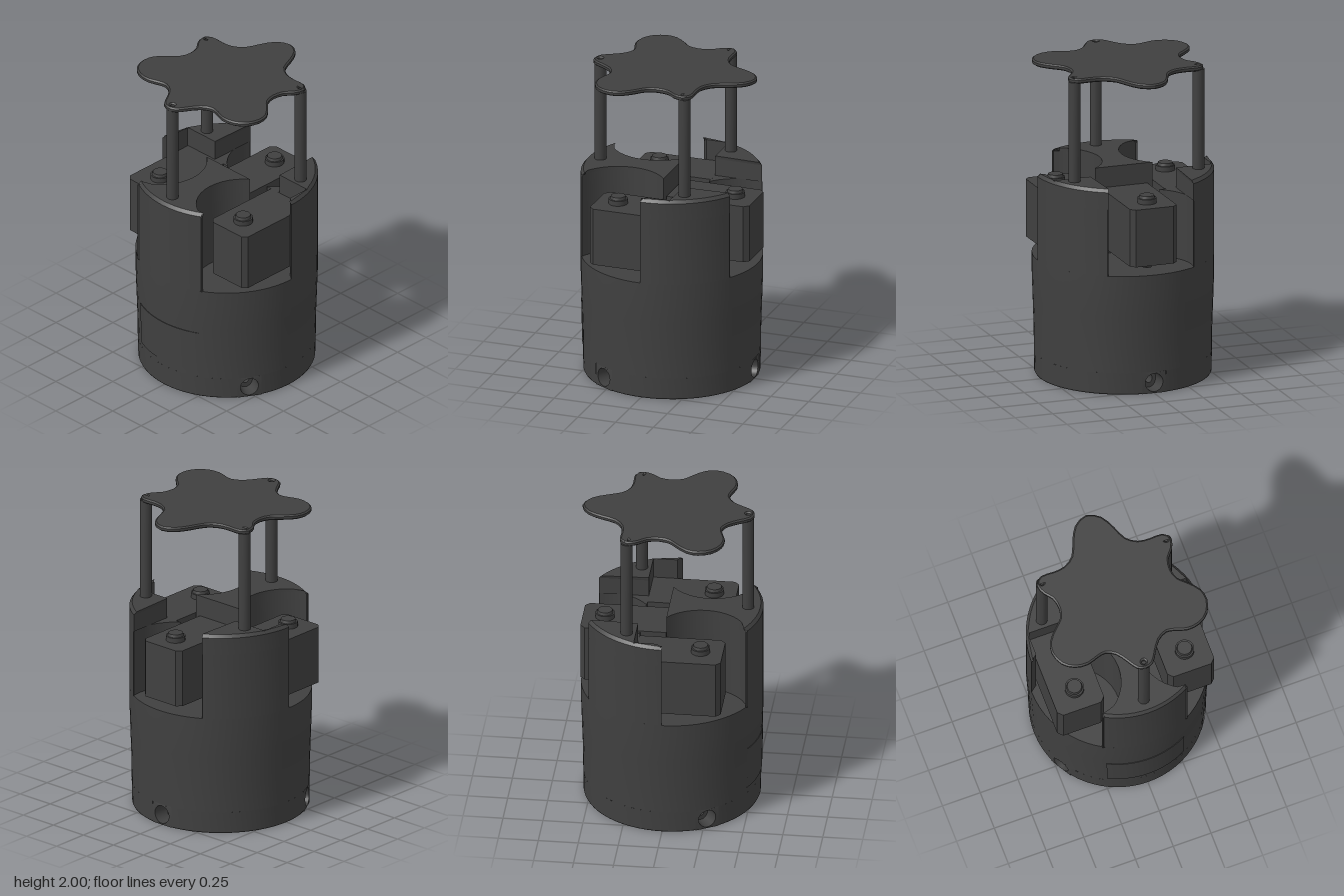
import * as THREE from 'three';
import { toCreasedNormals } from 'three/addons/utils/BufferGeometryUtils.js';

const charcoal = new THREE.MeshStandardMaterial({ color: 0x404040, side: THREE.DoubleSide });
charcoal.name = 'charcoal plastic';

const R = 0.567;        // upper body radius
const POCKET = 0.295;   // clearance radius around each servo shaft
const rad = THREE.MathUtils.degToRad;
const V2 = (x, y) => new THREE.Vector2(x, y);

function part(group, name, geometry) {
  const mesh = new THREE.Mesh(toCreasedNormals(geometry, 0.5), charcoal);
  mesh.name = name;
  group.add(mesh);
  return mesh;
}

// Points on an arc in plan (x, z), angles in degrees
function arc(cx, cz, r, from, to, n = 14) {
  return Array.from({ length: n + 1 }, (_, i) => {
    const a = rad(from + (to - from) * i / n);
    return V2(cx + r * Math.cos(a), cz + r * Math.sin(a));
  });
}

// Upright prism from a plan outline
function prism(outline, y0, y1) {
  const shape = outline instanceof THREE.Shape ? outline : new THREE.Shape(outline);
  return new THREE.ExtrudeGeometry(shape, { depth: y1 - y0, bevelEnabled: false, curveSegments: 20 })
    .rotateX(Math.PI / 2).translate(0, y1, 0);
}

// Thin top layer whose outer rim leans inward
function chamferedCap(outline, y0, y1) {
  const geo = prism(outline, y0, y1), p = geo.attributes.position;
  for (let i = 0; i < p.count; i++) {
    const r = Math.hypot(p.getX(i), p.getZ(i));
    if (p.getY(i) > y1 - 0.001 && r > 0.556) p.setXYZ(i, p.getX(i) * 0.55 / r, y1, p.getZ(i) * 0.55 / r);
  }
  return geo;
}

const cylinder = (r0, r1, y0, y1, x, z, n = 24) =>
  new THREE.CylinderGeometry(r1, r0, y1 - y0, n).translate(x, (y0 + y1) / 2, z);

const lathe = (points, n, start, length) =>
  new THREE.LatheGeometry(points.map(([x, y]) => V2(x, y)), n, start, length);

// Wall block with a round hole, wrapped around the y axis at the given angle
function drilledBlock(angle, halfWidth, rIn, rOut, hole) {
  const w = halfWidth * 0.55;
  const shape = new THREE.Shape([V2(-w, 0), V2(w, 0), V2(w, 0.14), V2(-w, 0.14)]);
  shape.holes.push(new THREE.Path().absarc(0, 0.07, hole, 0, Math.PI * 2, true));
  const geo = new THREE.ExtrudeGeometry(shape, { depth: rOut - rIn, bevelEnabled: false, curveSegments: 16 });
  const p = geo.attributes.position;
  for (let i = 0; i < p.count; i++) {
    const a = angle - p.getX(i) / 0.55, r = rIn + p.getZ(i);
    p.setXYZ(i, r * Math.cos(a), p.getY(i), r * Math.sin(a));
  }
  return geo;
}

function buildBase(root) {
  const base = new THREE.Group();
  base.name = 'base';
  root.add(base);
  part(base, 'lowerBody', lathe(
    [[0, 0.14], [0.553, 0.14], [0.555, 0.3], [0.562, 0.5], [R, 0.65], [R, 0.77], [0, 0.77]], 64));

  // Foot ring: three plain arcs and three blocks with radial screw holes
  const half = 0.14;
  for (let i = 0; i < 3; i++) {
    const hole = rad(120 * i), start = Math.PI / 2 - rad(120 * i) + half, len = Math.PI * 2 / 3 - 2 * half;
    part(base, 'footWall', lathe([[0.545, 0], [0.55, 0.008], [0.553, 0.14]], 20, start, len));
    part(base, 'footInnerWall', lathe([[0.36, 0.14], [0.36, 0]], 20, start, len));
    part(base, 'screwHoleOuter', drilledBlock(hole, half, 0.45, 0.551, 0.058));
    part(base, 'screwHoleInner', drilledBlock(hole, half, 0.36, 0.45, 0.028));
  }
  const ring = new THREE.Shape(arc(0, 0, 0.546, 0, 360, 64).slice(1));
  ring.holes.push(new THREE.Path().absarc(0, 0, 0.36, 0, Math.PI * 2, true));
  for (let i = 0; i < 4; i++) {
    const a = rad(45 + 90 * i), x = 0.45 * Math.cos(a), z = 0.45 * Math.sin(a);
    ring.holes.push(new THREE.Path().absarc(x, z, 0.038, 0, Math.PI * 2, true));
    part(base, 'boltHole', new THREE.CylinderGeometry(0.038, 0.038, 0.13, 16, 1, true).translate(x, 0.065, z));
  }
  part(base, 'footFace', new THREE.ShapeGeometry(ring, 32).rotateX(Math.PI / 2));

  // Thin curved access panel on the right side
  part(base, 'accessPanel', lathe([[0.553, 0.18], [0.558, 0.18], [0.564, 0.46], [0.556, 0.46]],
    16, -Math.PI / 2 - rad(27), rad(54)));
}

function buildPosts(root) {
  // Right post runs inward between the pockets to a central hub
  const hub = [
    ...arc(0, 0, R, 150, 210),
    ...arc(-0.22, -0.37, POCKET, 162.5, 37.3),
    ...arc(-0.22, 0.37, POCKET, -37.3, -162.5),
  ];
  part(root, 'rightPostAndHub', prism(hub, 0.77, 1.31));
  part(root, 'rightPostCap', chamferedCap(hub, 1.31, 1.33));

  // Front and back posts, notched for the neighbouring servo
  for (const s of [1, -1]) {
    const outer = [
      ...arc(0, 0, R, 30, 90),
      ...arc(-0.22, 0.37, POCKET, 41.5, 31.7, 4),
      V2(0.18, 0.525),
    ];
    const lower = [...outer, ...arc(0.42, 0, POCKET, 144.4, 76)];
    const upper = [...outer, V2(0.18, 0.285)];
    const side = pts => pts.map(p => V2(p.x, p.y * s));
    const name = s > 0 ? 'frontPost' : 'backPost';
    part(root, name, prism(side(lower), 0.77, 1.2));
    part(root, name + 'Upper', prism(side(upper), 1.2, 1.31));
    part(root, name + 'Cap', chamferedCap(side(upper), 1.31, 1.33));
  }
}

// Servo with its shaft at the origin and its body reaching toward -x
function buildServo(name) {
  const servo = new THREE.Group();
  servo.name = name;
  const c = 0.03, w = 0.155;
  part(servo, 'servoCase', prism([
    V2(-0.4, -w), V2(0.14 - c, -w), V2(0.14, c - w), V2(0.14, w - c), V2(0.14 - c, w), V2(-0.4, w),
  ], 0.83, 1.2));
  part(servo, 'shaftCollar', cylinder(0.06, 0.06, 1.2, 1.232, 0, 0));
  part(servo, 'shaftTop', cylinder(0.05, 0.045, 1.232, 1.25, 0, 0));
  part(servo, 'idlerNeck', cylinder(0.025, 0.025, 0.8, 0.83, 0, 0));
  part(servo, 'idlerCap', cylinder(0.03, 0.042, 0.785, 0.805, 0, 0));
  return servo;
}

function buildTopPlate(root) {
  const half = [
    [0.55, 0], [0.51, 0.08], [0.42, 0.13], [0.33, 0.17], [0.28, 0.24], [0.27, 0.32], [0.27, 0.4],
    [0.23, 0.435], [0.17, 0.415], [0.12, 0.375], [0.04, 0.36], [-0.03, 0.38], [-0.08, 0.43],
    [-0.15, 0.49], [-0.22, 0.505], [-0.3, 0.475], [-0.347, 0.41], [-0.357, 0.33], [-0.335, 0.26],
    [-0.325, 0.2], [-0.36, 0.135], [-0.43, 0.085], [-0.49, 0.045], [-0.505, 0],
  ];
  const loop = [...half, ...half.slice(1, -1).reverse().map(([x, z]) => [x, -z])];
  const curve = new THREE.CatmullRomCurve3(loop.map(([x, z]) => new THREE.Vector3(x, z, 0)), true);
  const shape = new THREE.Shape(curve.getPoints(92).slice(0, -1).map(p => V2(p.x, p.y)));
  const spots = [180, 60, -60].map(a => [0.475 * Math.cos(rad(a)), 0.475 * Math.sin(rad(a))]);
  for (const [x, z] of spots) {
    shape.holes.push(new THREE.Path().absarc(x, z, 0.024, 0, Math.PI * 2, true));
    part(root, 'standoff', cylinder(0.037, 0.037, 1.3, 1.975, x, z));
  }
  const geo = new THREE.ExtrudeGeometry(shape, {
    depth: 0.016, bevelThickness: 0.008, bevelSize: 0.01, bevelSegments: 1, curveSegments: 10,
  });
  part(root, 'lobedTopPlate', geo.rotateX(Math.PI / 2).translate(0, 1.992, 0));
}

export function createModel() {
  const root = new THREE.Group();
  root.name = 'threeServoStand';
  buildBase(root);
  buildPosts(root);
  buildTopPlate(root);

  const left = buildServo('leftServo');
  left.position.x = 0.42;
  root.add(left);
  for (const s of [1, -1]) {
    const servo = buildServo(s > 0 ? 'frontServo' : 'backServo');
    servo.rotation.y = Math.PI;
    servo.position.set(-0.22, 0, 0.365 * s);
    root.add(servo);
  }
  return root;
}
